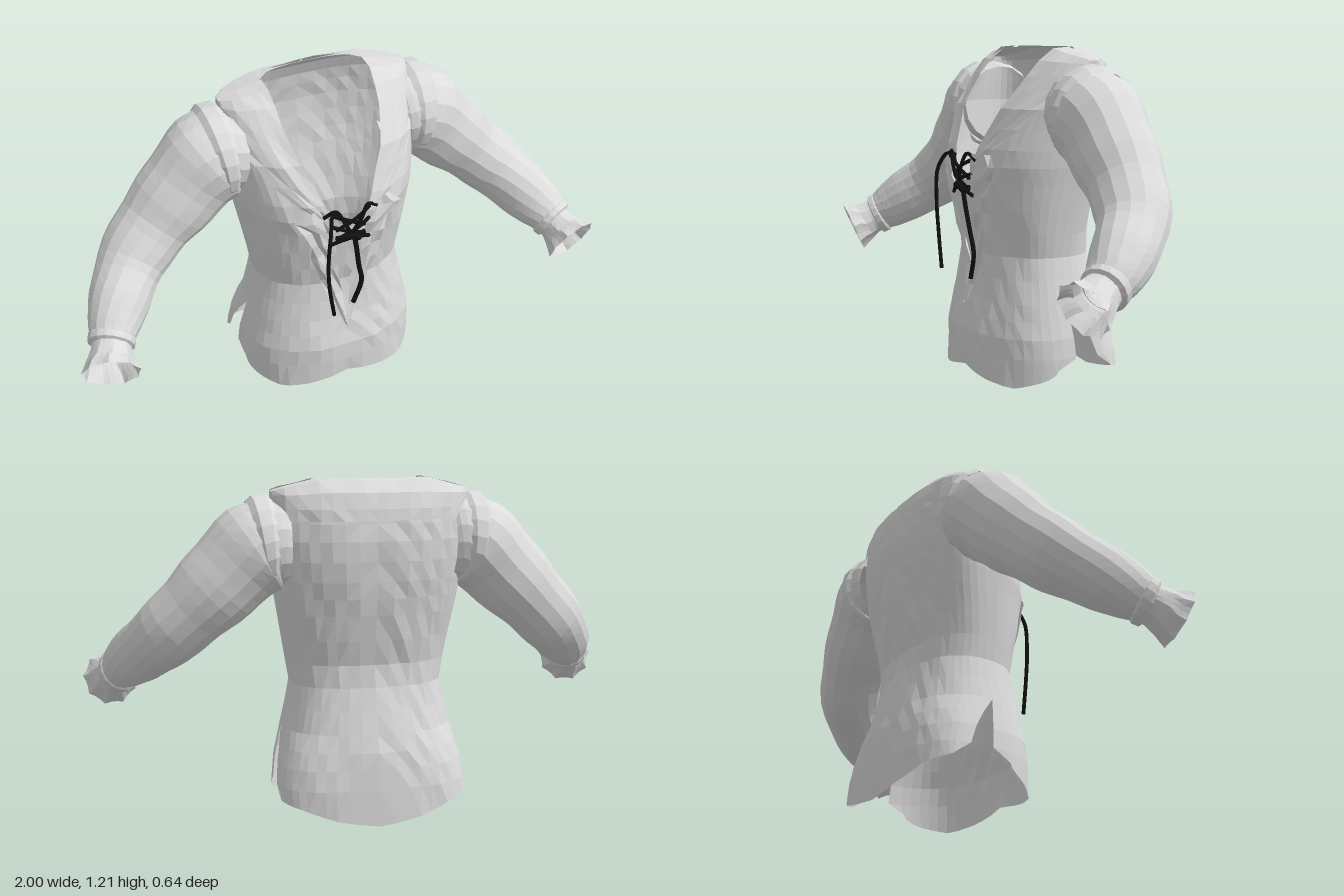
import * as THREE from 'three';

const cloth = new THREE.MeshStandardMaterial({ color: 0xdcdcdc, flatShading: true, side: THREE.DoubleSide });
cloth.name = 'palegreyCloth';
const cord = new THREE.MeshStandardMaterial({ color: 0x111111, side: THREE.DoubleSide });
cord.name = 'blackCord';

// piecewise linear lookup through [position, value] pairs
function key(table, t) {
  if (t <= table[0][0]) return table[0][1];
  for (let i = 1; i < table.length; i++) {
    const [a, va] = table[i - 1], [b, vb] = table[i];
    if (t <= b) return va + (vb - va) * (t - a) / (b - a);
  }
  return table[table.length - 1][1];
}
const crease = (a, b) => Math.sin(a * 47 + b * 29) * Math.cos(b * 61 - a * 23);

// open grid of points: rows x (cols + 1)
function grid(rows, cols, point) {
  const pos = [], idx = [], w = cols + 1;
  for (let j = 0; j < rows; j++) {
    for (let i = 0; i <= cols; i++) {
      pos.push(...point(j, i));
      if (j && i) {
        const d = j * w + i;
        idx.push(d - w - 1, d - w, d, d - w - 1, d, d - 1);
      }
    }
  }
  const g = new THREE.BufferGeometry();
  g.setAttribute('position', new THREE.Float32BufferAttribute(pos, 3));
  g.setIndex(idx);
  g.computeVertexNormals();
  return g;
}
function add(parent, name, geometry, material = cloth) {
  const m = new THREE.Mesh(geometry, material);
  m.name = name;
  parent.add(m);
}

// torso outline by height
const HALF = [[0, .338], [.1, .345], [.2, .335], [.4, .29], [.48, .275], [.6, .295], [.8, .33], [1, .355], [1.1, .35], [1.2, .35]];
const FRONT = [[0, .2], [.2, .2], [.35, .165], [.48, .15], [.6, .17], [.8, .2], [.86, .19], [1, .135], [1.1, .06], [1.17, -.01], [1.2, -.06], [1.205, -.13]];
const BACK = [[0, -.325], [.1, -.322], [.25, -.3], [.4, -.255], [.53, -.22], [.7, -.25], [.9, -.278], [1, -.278], [1.1, -.268], [1.17, -.24], [1.2, -.2], [1.205, -.13]];
const SIDE_F = [[.09, -.07], [.22, -.06], [.32, -.045], [.6, -.05], [.9, -.1], [1.205, -.13]];
const SIDE_B = [[.09, -.17], [.13, -.155], [.22, -.12], [.32, -.045], [.6, -.05], [.9, -.1], [1.205, -.13]];
const NECK = [[.74, 0], [.8, .07], [.9, .105], [1, .15], [1.1, .18], [1.2, .19]];
const P = 2.4;

// point on the torso shell at height y and distance x from the centre line
function shell(front, y, x, lift = 0) {
  const X = key(HALF, y), side = key(front ? SIDE_F : SIDE_B, y);
  const f = Math.min(1, x / X);
  const round = Math.pow(1 - Math.pow(f, P), 1 / P);
  let z = side + (key(front ? FRONT : BACK, y) - side) * round, top = y;
  // rounded back of the neck hole
  if (!front && y > 1.2 && x < .19) z -= .06 * Math.sqrt(1 - Math.pow(x / .19, 2.5));
  if (y > 1.14) top -= .035 * Math.max(0, (x - .19) / .16) * (y - 1.14) / .06;
  if (y < 1.1) z += .006 * crease(x, y) * round;
  return [x, top + (y > 1.12 ? lift * .6 : 0), z + (front ? lift : -lift)];
}
const ROWS = [0, .13, .2, .26, .32, .4, .48, .56, .65, .74, .8, .86, .93, 1, 1.06, 1.11, 1.16, 1.2, 1.205];

function panel(front, sx) {
  const N = 12;
  return grid(ROWS.length, N, (j, i) => {
    const s = i / N, y = ROWS[j];
    const n = front ? key(NECK, y) : 0, X = key(HALF, y);
    const a = s * Math.acos(Math.pow(n / X, P / 2));
    const p = shell(front, y, X * Math.pow(Math.max(0, Math.cos(a)), 2 / P));
    // curved hems
    if (j === 0) {
      p[1] = key(front ? [[0, .09], [.2, .055], [.5, .025], [.8, .04], [1, .065]] : [[0, .09], [.45, .065], [.75, .025], [1, 0]], s);
      p[2] = shell(front, p[1], p[0])[2];
    }
    return [p[0] * sx, p[1], p[2]];
  });
}

// strip lying on the shell between an inner and an outer line
function strip(front, rows, cols, inner, outer, lift, crumple, sx) {
  return grid(rows.length, cols, (j, i) => {
    const y = rows[j], a = key(inner, y), b = Math.min(key(outer, y), key(HALF, y) * .985);
    const x = a + (b - a) * i / cols;
    const k = crumple * crease(x * 2 + sx * .1, y * 1.6);
    const p = shell(front, y, x, lift + k);
    return [(p[0] + k * .5) * sx, p[1], p[2]];
  });
}

// tube with a varying radius along a list of [x, y, z, radius] stations
function sweep(stations, steps, sides, ripple) {
  const curve = new THREE.CatmullRomCurve3(stations.map(s => new THREE.Vector3(s[0], s[1], s[2])));
  const radii = stations.map((s, i) => [i / (stations.length - 1), s[3]]);
  const t = new THREE.Vector3(), u = new THREE.Vector3(), v = new THREE.Vector3();
  return grid(steps + 1, sides, (j, i) => {
    const q = j / steps, a = (i % sides) / sides * Math.PI * 2;
    const c = curve.getPoint(q);
    curve.getTangent(q, t);
    u.set(-.35, 0, -1).cross(t).normalize();
    v.crossVectors(t, u);
    const r = key(radii, q) * (1 + ripple(q, a));
    c.addScaledVector(u, r * Math.cos(a)).addScaledVector(v, r * Math.sin(a));
    return [c.x, c.y, c.z];
  });
}

const SLEEVE = [[.29, .985, -.105, .145], [.35, .985, -.105, .162], [.41, .955, -.105, .166], [.515, .855, -.1, .15], [.615, .76, -.085, .134],
  [.71, .67, -.045, .122], [.79, .593, .04, .109], [.842, .535, .115, .095], [.868, .502, .165, .07]];
const BAND = [[.335, .985, -.105, .155], [.352, .985, -.105, .17], [.385, .981, -.105, .172], [.402, .978, -.105, .156]];
const WRIST = [[.855, .515, .14, .07], [.863, .507, .153, .083], [.873, .496, .172, .081], [.877, .492, .18, .064]];
const CUFF = [[.868, .5, .165, .066], [.882, .482, .2, .07], [.893, .465, .23, .082], [.902, .45, .263, .096]];

function cordLine(parent, name, points, radius = .007) {
  const c = new THREE.CatmullRomCurve3(points.map(p => new THREE.Vector3(...p)));
  add(parent, name, new THREE.TubeGeometry(c, 20, radius, 6), cord);
}

export function createModel() {
  const shirt = new THREE.Group();
  shirt.name = 'lacedShirt';

  for (const sx of [1, -1]) {
    const half = new THREE.Group();
    half.name = sx > 0 ? 'leftHalf' : 'rightHalf';
    shirt.add(half);

    // body with open side slits
    add(half, 'frontPanel', panel(true, sx));
    add(half, 'backPanel', panel(false, sx));

    // wide lapel and shoulder yoke
    add(half, 'lapel', strip(true, [.8, .86, .93, 1, 1.06, 1.11, 1.16, 1.2, 1.205], 5, NECK,
      [[.8, .1], [.9, .23], [1.05, .325], [1.15, .36]], .009, .003, sx));
    add(half, 'yoke', strip(false, [1.07, 1.11, 1.16, 1.2, 1.205], 9, [[0, 0]], [[0, .36]], .007, .002, sx));

    // crumpled placket edges around the lacing
    add(half, 'placket', strip(true, [.29, .36, .43, .5, .57, .63, .69, .75, .8, .84], 4,
      [[.29, 0], [.45, .015], [.6, .04], [.84, .08]],
      [[.29, .006], [.45, .08], [.6, .125], [.66, .15], [.7, .13], [.8, .2], [.84, .16]], .012, .012, sx));

    // sleeve with shoulder band, wrist band and frilled cuff
    const arm = new THREE.Group();
    arm.name = 'sleeve';
    arm.scale.x = sx;
    half.add(arm);
    add(arm, 'sleeveTube', sweep(SLEEVE, 26, 16, (q, a) => .02 * Math.sin(q * 34) + .015 * Math.sin(a * 3 + q * 9)));
    add(arm, 'shoulderBand', sweep(BAND, 3, 18, () => 0));
    add(arm, 'wristBand', sweep(WRIST, 3, 16, () => 0));
    add(arm, 'frilledCuff', sweep(CUFF, 4, 27, (q, a) => .07 * q * Math.cos(a * 9)));
  }

  // lacing
  const laces = new THREE.Group();
  laces.name = 'laces';
  shirt.add(laces);
  for (const sx of [1, -1]) {
    for (const [y0, y1] of [[.82, .75], [.77, .71], [.69, .72]]) {
      cordLine(laces, 'crossLace', [[sx * .075, y0, .2], [sx * .02, (y0 + y1) / 2 + .01, .217], [-sx * .055, y1, .205]]);
    }
    cordLine(laces, 'bowLoop', [[0, .73, .215], [sx * .03, .79, .225], [sx * .06, .84, .215], [sx * .1, .815, .2]]);
  }
  cordLine(laces, 'knot', [[-.03, .715, .21], [0, .725, .22], [.03, .705, .212]], .014);
  cordLine(laces, 'rightHangingLace', [[-.05, .825, .205], [-.075, .835, .22], [-.095, .78, .253], [-.105, .66, .256], [-.1, .55, .252], [-.08, .41, .25]], .007);
  cordLine(laces, 'leftHangingLace', [[.01, .73, .21], [.025, .65, .205], [.04, .56, .195], [.055, .48, .188], [.025, .385, .185]], .009);

  return shirt;
}
